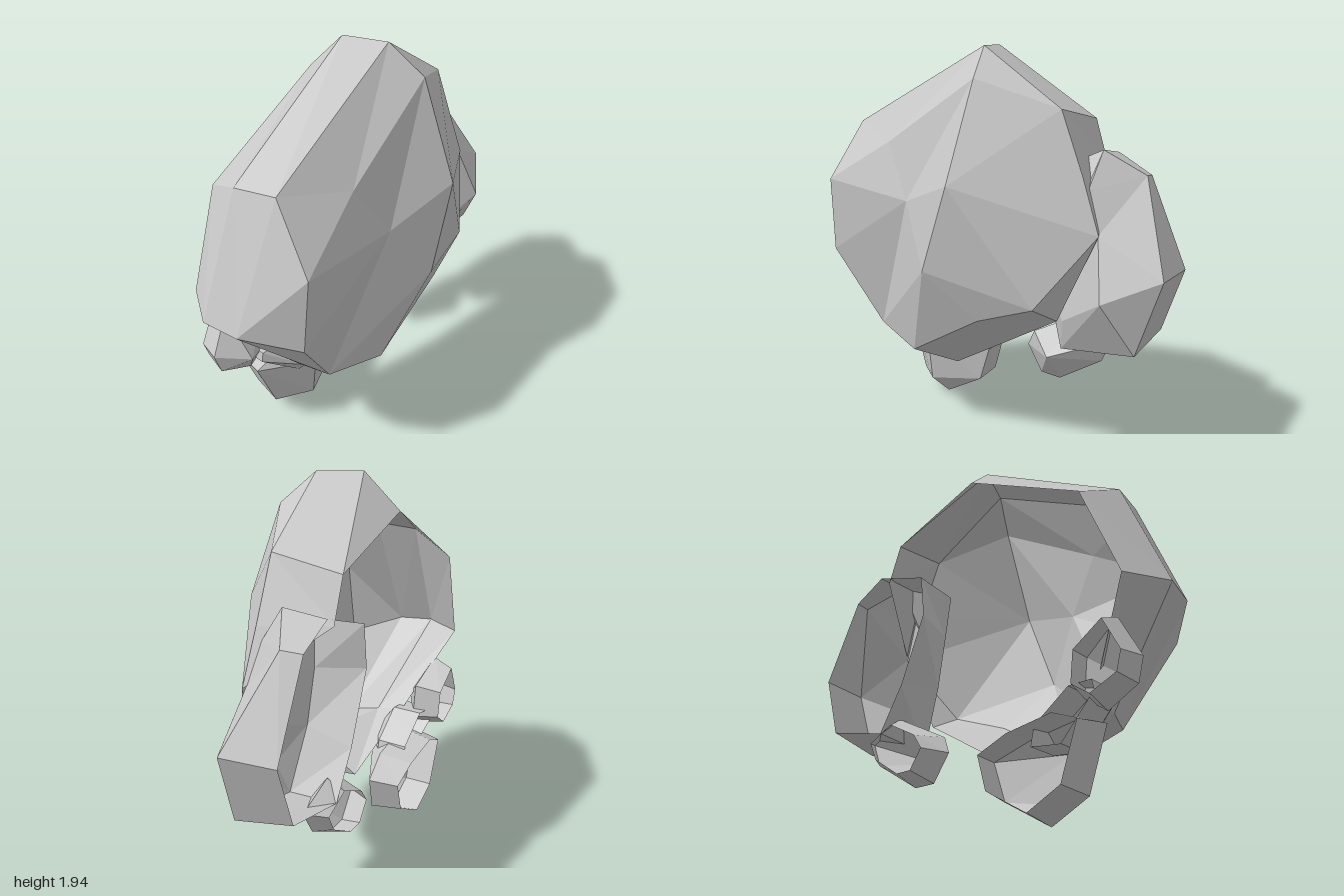
import * as THREE from 'three';

const stone = new THREE.MeshStandardMaterial({ color: 0xc8c8c8, side: THREE.DoubleSide });
stone.name = 'stone grey';

// Faceted open-backed shell: cross-section rings from the back rim forward, closed by a fan at the tip
function shell(name, rings, tip) {
  const pos = [];
  const tri = (a, b, c) => {
    const t = new THREE.Triangle(...[a, b, c].map(p => new THREE.Vector3(...p)));
    if (t.getArea() > 1e-6) pos.push(...a, ...b, ...c);
  };
  rings.forEach((ring, r) => {
    const next = rings[r + 1];
    ring.forEach((a, i) => {
      const j = (i + 1) % ring.length;
      if (!next) return tri(a, ring[j], tip);
      tri(a, ring[j], next[j]);
      tri(a, next[j], next[i]);
    });
  });
  const g = new THREE.BufferGeometry();
  g.setAttribute('position', new THREE.Float32BufferAttribute(pos, 3));
  g.computeVertexNormals();
  const mesh = new THREE.Mesh(g, stone);
  mesh.name = name;
  return mesh;
}

// Rim ring made by shrinking a ring toward its middle and placing it on the back plane
function backRim(ring, s) {
  const n = ring.length;
  const cx = ring.reduce((t, p) => t + p[0], 0) / n, cy = ring.reduce((t, p) => t + p[1], 0) / n;
  return ring.map(([x, y]) => [cx + (x - cx) * s, cy + (y - cy) * s, -0.36]);
}

export function createModel() {
  const group = new THREE.Group();
  group.name = 'rockCluster';

  // Large boulder: rings run top, left, bottom, right; corners shared by several rings are named
  const bottom = [-0.2, 0.275, -0.07], lowRight = [0.51, 0.69, 0], right = [0.71, 1.12, -0.02];
  const upRight = [0.485, 1.66, -0.03], shoulder = [0.61, 1.37, -0.03];
  const brow = [0.13, 1.32, 0.345], chin = [-0.02, 0.9, 0.355], jaw = [-0.54, 0.48, 0.16];
  const leftRim = [-0.88, 0.95, -0.33], leftBack = [-1, 0.95, -0.13], leftFront = [-0.97, 0.94, 0.05];
  group.add(shell('largeBoulder', [
    [[-0.06, 1.77, -0.355], [-0.7, 1.42, -0.345], leftRim, leftRim, [-0.6, 0.53, -0.15],
      bottom, lowRight, lowRight, right, [0.52, 1.4, -0.355], [0.45, 1.6, -0.355]],
    [[-0.02, 1.94, -0.19], [-0.77, 1.53, -0.11], leftBack, leftBack, [-0.6, 0.5, 0],
      bottom, lowRight, lowRight, right, shoulder, upRight],
    [[0.06, 1.935, 0.01], [-0.73, 1.55, 0.1], leftFront, leftFront, jaw,
      [-0.23, 0.42, 0.22], [0.2, 0.67, 0.21], [0.49, 0.775, 0.16], right, shoulder, upRight],
    [[0.13, 1.79, 0.16], [-0.4, 1.47, 0.21], [-0.77, 1.255, 0.3], [-0.79, 0.87, 0.27], jaw,
      chin, chin, chin, brow, brow, brow],
  ], [-0.22, 1.2, 0.265]));

  // Side boulder, partly inside the large one
  group.add(shell('sideBoulder', [
    [[0.58, 1.45, -0.36], [0.27, 1.34, -0.36], [0.24, 1.12, -0.36], [0.37, 0.78, -0.36],
      [0.5, 0.56, -0.36], [0.85, 0.64, -0.36], [0.955, 0.95, -0.36], [0.76, 1.36, -0.36]],
    [[0.62, 1.48, -0.17], [0.29, 1.33, -0.12], [0.31, 1.1, -0.13], [0.36, 0.83, -0.12],
      [0.47, 0.52, -0.09], [0.88, 0.59, -0.08], [0.995, 0.95, -0.1], [0.79, 1.37, -0.27]],
    [[0.62, 1.31, -0.06], [0.58, 1.25, -0.06], [0.56, 1.1, -0.06], [0.55, 0.9, -0.06],
      [0.51, 0.68, -0.04], [0.78, 0.84, 0.06], [0.78, 0.84, 0.06], [0.7, 1.12, -0.03]],
  ], [0.68, 1.08, -0.03]));

  // Small stones around the base
  const stones = [
    ['rightPebble', 0.72, [[0.45, 0.64, -0.28], [0.22, 0.52, -0.2], [0.15, 0.42, -0.24], [0.24, 0.29, -0.24],
      [0.36, 0.29, -0.24], [0.58, 0.43, -0.28], [0.64, 0.55, -0.27]], [0.37, 0.44, -0.11]],
    ['leftPebble', 0.8, [[-0.8, 0.8, -0.25], [-0.9, 0.6, -0.24], [-0.87, 0.49, -0.24],
      [-0.71, 0.42, -0.22], [-0.6, 0.5, -0.22], [-0.62, 0.68, -0.22]], [-0.77, 0.57, -0.12]],
  ];
  for (const [name, s, ring, tip] of stones) group.add(shell(name, [backRim(ring, s), ring], tip));

  // Bottom stone with a ridge down its front
  const base = [[-0.28, 0.4, -0.18], [-0.55, 0.44, -0.18], [-0.69, 0.38, -0.2], [-0.59, 0.1, -0.2],
    [-0.4, 0.005, -0.2], [-0.155, 0.145, -0.2], [-0.1, 0.33, -0.21]];
  const ridgeTop = [-0.42, 0.34, -0.06], ridgeLow = [-0.42, 0.11, -0.09];
  group.add(shell('bottomStone',
    [backRim(base, 0.88), base, base.map((p, i) => (i > 2 && i < 6 ? ridgeLow : ridgeTop))], ridgeTop));

  // Flat chip wedged under the large boulder
  const chip = [[-0.56, 0.55, -0.12], [-0.69, 0.54, -0.14], [-0.7, 0.49, -0.14],
    [-0.5, 0.32, -0.1], [-0.36, 0.33, -0.12], [-0.38, 0.42, -0.12]];
  group.add(shell('flatChip', [chip.map(([x, y, z]) => [x, y, z - 0.16]), chip], [-0.52, 0.41, -0.03]));
  return group;
}
